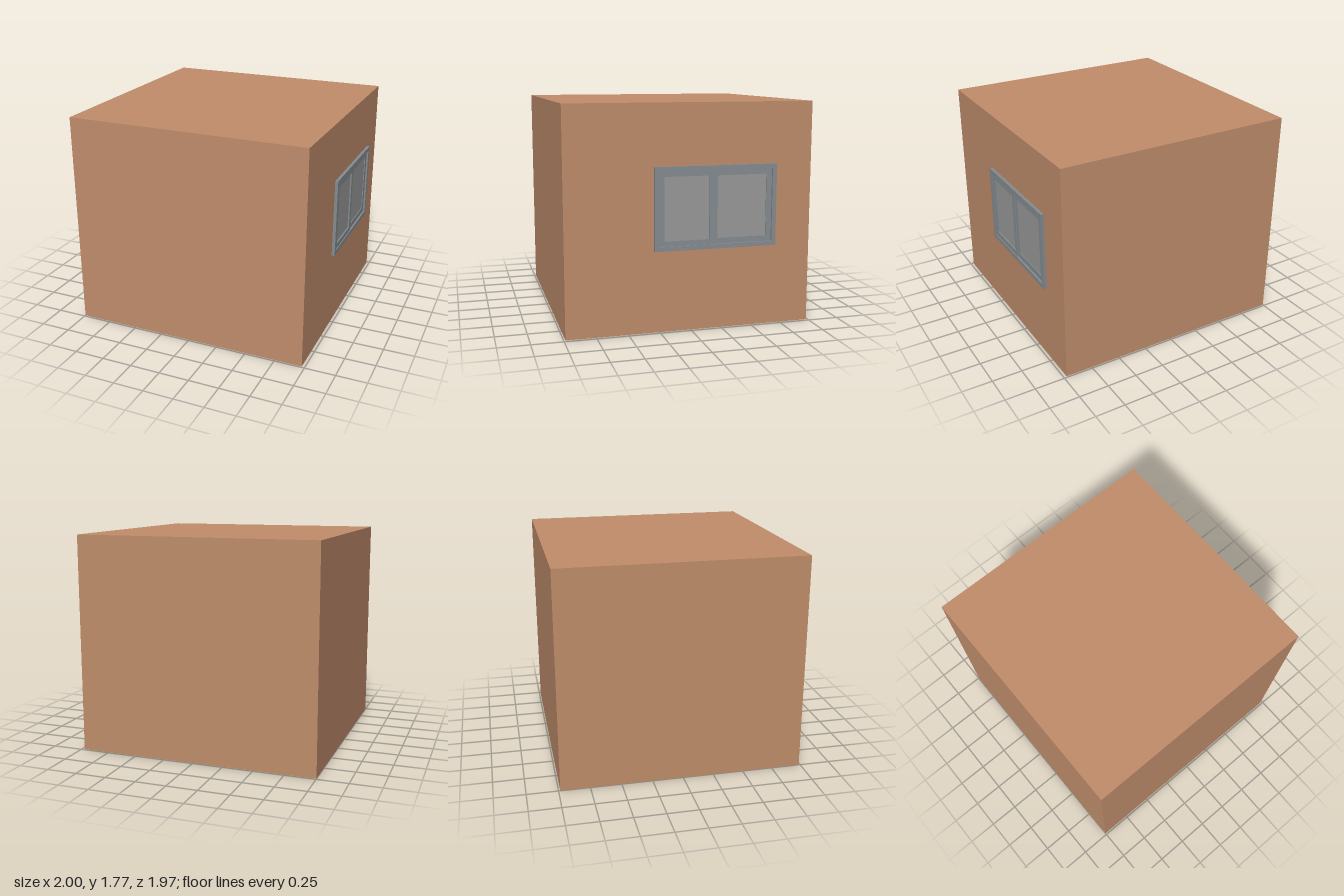
import * as THREE from 'three';

const mat = (color) => new THREE.MeshStandardMaterial({ color });
const brick = mat(0xc08d6b), metal = mat(0x858c90), pane = mat(0x999999);
const grout = mat(0x4e5040), tile = mat(0x5a5547);

// Shell limits
const X0 = -1, X1 = 0.975, Z0 = -0.987, Z1 = 0.987, H = 1.775, T = 0.012;

function box(parent, name, material, x0, x1, y0, y1, z0, z1) {
  const m = new THREE.Mesh(new THREE.BoxGeometry(x1 - x0, y1 - y0, z1 - z0), material);
  m.position.set((x0 + x1) / 2, (y0 + y1) / 2, (z0 + z1) / 2);
  m.name = name;
  parent.add(m);
  return m;
}

// Rectangular frame in the zy plane, border w, from x0 out to x1
function frame(parent, name, x0, x1, y0, y1, z0, z1, w) {
  const rect = (C, i) => {
    const s = new C();
    s.moveTo(-z1 + i, y0 + i);
    s.lineTo(-z0 - i, y0 + i);
    s.lineTo(-z0 - i, y1 - i);
    s.lineTo(-z1 + i, y1 - i);
    s.closePath();
    return s;
  };
  const shape = rect(THREE.Shape, 0);
  shape.holes.push(rect(THREE.Path, w));
  const m = new THREE.Mesh(
    new THREE.ExtrudeGeometry(shape, { depth: x1 - x0, bevelEnabled: false }), metal);
  m.rotation.y = Math.PI / 2;
  m.position.x = x0;
  m.name = name;
  parent.add(m);
}

// Floor panel with sloped edges, narrowing downwards
function panel(parent, x0, x1, z0, z1, yLow, yHigh, bevel) {
  const g = new THREE.BoxGeometry(x1 - x0, yHigh - yLow, z1 - z0);
  const p = g.attributes.position;
  for (let i = 0; i < p.count; i++) {
    if (p.getY(i) > 0) continue;
    p.setX(i, p.getX(i) - Math.sign(p.getX(i)) * bevel);
    p.setZ(i, p.getZ(i) - Math.sign(p.getZ(i)) * bevel);
  }
  g.computeVertexNormals();
  const m = new THREE.Mesh(g, tile);
  m.position.set((x0 + x1) / 2, (yLow + yHigh) / 2, (z0 + z1) / 2);
  m.name = 'floorPanel';
  parent.add(m);
}

export function createModel() {
  const model = new THREE.Group();

  // Walls and roof
  const shell = new THREE.Group();
  shell.name = 'shell';
  box(shell, 'roof', brick, X0, X1, H - T, H, Z0, Z1);
  box(shell, 'frontWall', brick, X0, X1, 0, H - T, Z1 - T, Z1);
  box(shell, 'backWall', brick, X0, X1, 0, H - T, Z0, Z0 + T);
  box(shell, 'leftWall', brick, X1 - T, X1, 0, H - T, Z0 + T, Z1 - T);
  box(shell, 'rightWall', brick, X0, X0 + T, 0, H - T, Z0 + T, Z1 - T);
  model.add(shell);

  // Recessed floor with a pinwheel of panels, in thirds from +x and from the back
  const floor = new THREE.Group();
  floor.name = 'floor';
  box(floor, 'floorBase', grout, X0 + T, X1 - T, 0.045, 0.08, Z0 + T, Z1 - T);
  const W = X1 - X0 - 2 * T, D = Z1 - Z0 - 2 * T, gap = 0.022;
  const layout = [[0, 1, 0, 2], [0, 2, 2, 3], [2, 3, 1, 3], [1, 3, 0, 1], [1, 2, 1, 2]];
  for (const [u0, u1, v0, v1] of layout) {
    panel(floor,
      X1 - T - (W * u1) / 3 + gap, X1 - T - (W * u0) / 3 - gap,
      Z0 + T + (D * v0) / 3 + gap, Z0 + T + (D * v1) / 3 - gap,
      0.025, 0.046, 0.015);
  }
  model.add(floor);

  // Sliding window on the +x wall
  const win = new THREE.Group();
  win.name = 'window';
  frame(win, 'windowFrame', X1 - 0.005, 1, 0.645, 1.295, -0.69, 0.295, 0.035);
  frame(win, 'frontSash', X1 - 0.005, 0.993, 0.68, 1.26, -0.185, 0.26, 0.042);
  frame(win, 'rearSash', X1 - 0.005, 0.985, 0.68, 1.26, -0.655, -0.165, 0.045);
  box(win, 'frontPane', pane, X1 - 0.005, 0.981, 0.71, 1.23, -0.15, 0.225);
  box(win, 'rearPane', pane, X1 - 0.005, 0.978, 0.71, 1.23, -0.62, -0.18);
  model.add(win);

  return model;
}
